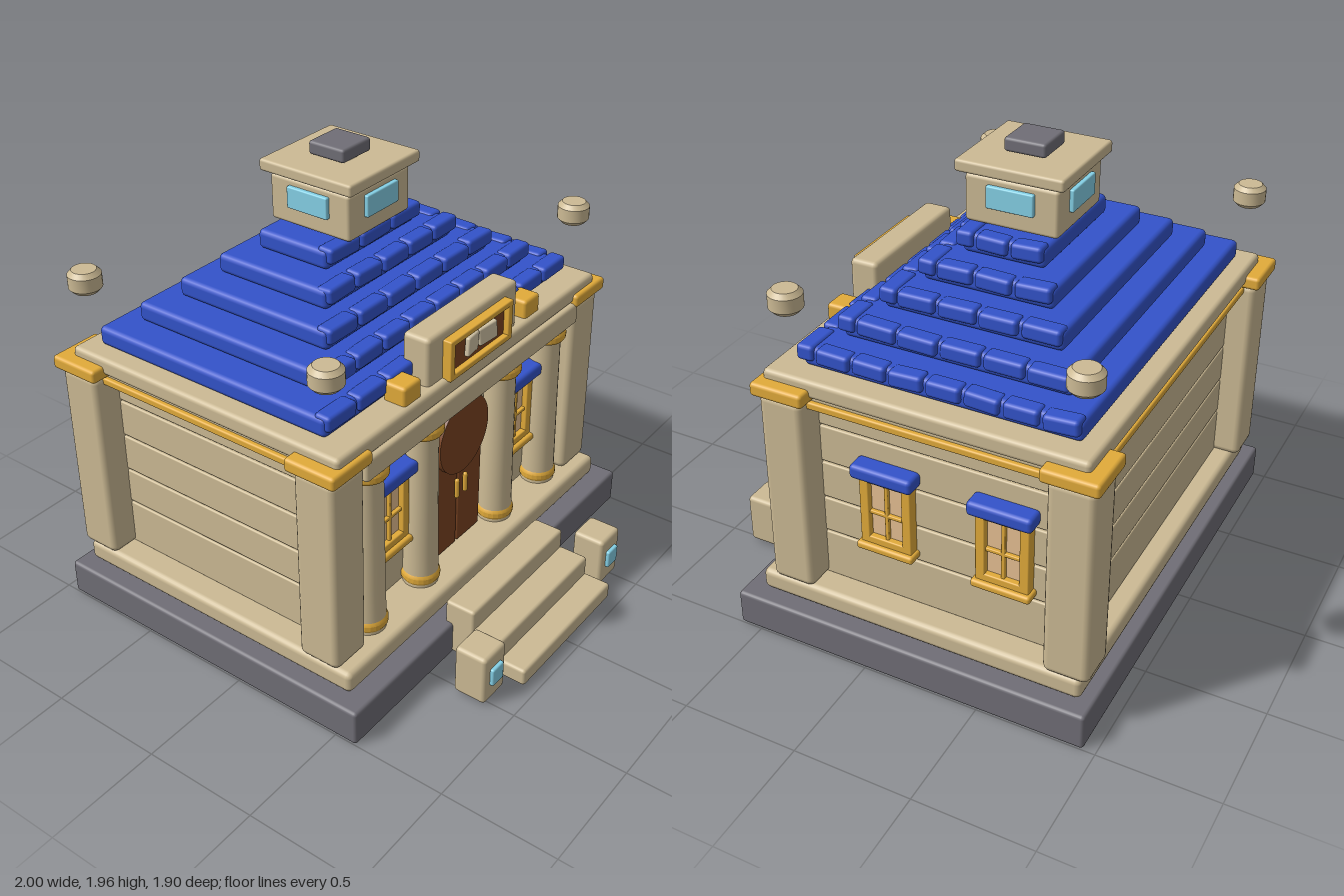
import * as THREE from 'three';
import { toCreasedNormals } from 'three/addons/utils/BufferGeometryUtils.js';
import { RoundedBoxGeometry } from 'three/addons/geometries/RoundedBoxGeometry.js';

const paint = (name, color) => Object.assign(new THREE.MeshStandardMaterial({ color }), { name });

export function createModel() {
  const stone = paint('sandstone', 0xccba94);
  const groove = paint('grooveShade', 0x7a6c50);
  const slate = paint('slate', 0x706e76);
  const blue = paint('roofBlue', 0x3353ca);
  const gold = paint('gold', 0xe2ab3a);
  const brown = paint('doorBrown', 0x7b4422);
  const cyan = paint('cyanGlass', 0x86d2e8);
  const glow = paint('warmGlass', 0xebc496);
  const page = paint('page', 0xd2c4a6);

  const model = new THREE.Group();
  model.name = 'libraryHall';

  let seed = 7;
  const jitter = (a) => {
    seed = (seed * 16807) % 2147483647;
    return (seed / 2147483647 - 0.5) * 2 * a;
  };

  const add = (name, geo, mat, x = 0, y = 0, z = 0, parent = model) => {
    const mesh = new THREE.Mesh(geo, mat);
    mesh.name = name;
    mesh.position.set(x, y, z);
    parent.add(mesh);
    return mesh;
  };
  // Soft-edged block given by its limits on each axis
  const block = (name, mat, [x0, x1], [y0, y1], [z0, z1], r = 0.012, parent = model) =>
    add(name, new RoundedBoxGeometry(x1 - x0, y1 - y0, z1 - z0, 2, r), mat,
      (x0 + x1) / 2, (y0 + y1) / 2, (z0 + z1) / 2, parent);
  const lathe = (points, sides = 24) => toCreasedNormals(
    new THREE.LatheGeometry(points.map(([r, y]) => new THREE.Vector2(r, y)), sides), 0.6);

  // Foundation
  block('base', slate, [-1, 1], [0, 0.157], [-0.95, 0.6], 0.015);
  block('plinth', stone, [-0.93, 0.93], [0.162, 0.255], [-0.9, 0.52], 0.025);

  // Walls: planks around a darker core that shows in the grooves
  add('wallCore', new THREE.BoxGeometry(1.6, 0.9, 1.11), groove, 0, 0.69, -0.245);
  const seams = [0.25, 0.465, 0.63, 0.8, 0.97, 1.15];
  for (let i = 0; i < 5; i++) {
    block('wallCourse', stone, [-0.815, 0.815], [seams[i] + 0.004, seams[i + 1] - 0.004], [-0.815, 0.33], 0.007);
  }

  // Corner pillars, their gold caps and the finials hovering above
  const finial = lathe([[0, -0.047], [0.05, -0.047], [0.068, -0.028], [0.068, 0.028], [0.05, 0.047], [0, 0.047]]);
  for (const s of [-1, 1]) {
    for (const z of [0.367, -0.835]) {
      block('cornerPillar', stone, [s * 0.84 - 0.095, s * 0.84 + 0.095], [0.25, 1.12], [z - 0.096, z + 0.096], 0.03);
      block('pillarCap', gold, [s * 0.84 - 0.118, s * 0.84 + 0.118], [1.117, 1.175], [z - 0.116, z + 0.116], 0.015);
      add('finial', finial, stone, s * 0.84, 1.503, z);
    }
  }

  // Trim and cornice
  block('goldTrim', gold, [-0.89, 0.89], [1.08, 1.112], [-0.88, 0.35], 0.008);
  block('upperWall', stone, [-0.87, 0.87], [1.1, 1.15], [-0.86, 0.36], 0.005);
  block('frontBeam', stone, [-0.75, 0.75], [1.035, 1.135], [0.3, 0.475], 0.015);
  block('cornice', stone, [-0.9, 0.9], [1.135, 1.212], [-0.89, 0.46], 0.02);

  // Porch columns
  const shaft = lathe([[0.076, 0.25], [0.073, 0.45], [0.069, 0.7], [0.066, 1.0]]);
  const ring = (r) => lathe([[0, -0.023], [r - 0.008, -0.023], [r, -0.01], [r, 0.01], [r - 0.008, 0.023], [0, 0.023]]);
  const baseRing = ring(0.083);
  const capitalRing = ring(0.088);
  for (const x of [-0.64, -0.28, 0.28, 0.64]) {
    add('columnShaft', shaft, stone, x, 0, 0.385);
    add('columnBase', baseRing, gold, x, 0.29, 0.385);
    add('columnCapital', capitalRing, gold, x, 1.008, 0.385);
  }

  // Windows, built facing +z with the wall at z = 0
  const makeWindow = (x, z, turn) => {
    const g = new THREE.Group();
    g.name = 'window';
    for (const s of [-1, 1]) {
      const e = s * 0.092;
      block('windowJamb', gold, [e - 0.02, e + 0.02], [0.51, 0.83], [-0.01, 0.045], 0.006, g);
    }
    block('windowHead', gold, [-0.11, 0.11], [0.8, 0.835], [-0.01, 0.045], 0.006, g);
    block('windowFoot', gold, [-0.11, 0.11], [0.51, 0.55], [-0.01, 0.045], 0.006, g);
    block('windowSill', gold, [-0.125, 0.125], [0.487, 0.52], [-0.01, 0.065], 0.012, g);
    add('windowPane', new THREE.BoxGeometry(0.16, 0.27, 0.008), glow, 0, 0.675, 0.015, g);
    block('windowBar', gold, [-0.008, 0.008], [0.54, 0.81], [0.01, 0.035], 0.004, g);
    block('windowBar', gold, [-0.08, 0.08], [0.652, 0.668], [0.01, 0.035], 0.004, g);
    block('windowAwning', blue, [-0.135, 0.135], [0.825, 0.887], [-0.01, 0.08], 0.018, g);
    g.position.set(x, 0, z);
    g.rotation.y = turn;
    model.add(g);
  };
  for (const x of [-0.46, 0.46]) makeWindow(x, 0.33, 0);
  for (const z of [-0.035, -0.535]) makeWindow(0.815, z, Math.PI / 2);

  // Arched double door
  const disc = (name, mat, r, z0, z1) => {
    const geo = new THREE.CylinderGeometry(r, r, z1 - z0, 40).rotateX(Math.PI / 2);
    add(name, geo, mat, 0, 0.822, (z0 + z1) / 2);
  };
  disc('doorSurround', stone, 0.228, 0.3, 0.336);
  disc('doorArch', brown, 0.175, 0.32, 0.4);
  for (const s of [-1, 1]) {
    block('doorLeaf', brown, [s * 0.0875 - 0.083, s * 0.0875 + 0.083], [0.262, 0.82], [0.31, 0.375], 0.008);
    add('doorHandle', new THREE.CapsuleGeometry(0.011, 0.075, 4, 10), gold, s * 0.03, 0.565, 0.39);
  }

  // Sign with an open book
  block('signPanel', stone, [-0.31, 0.31], [1.178, 1.417], [0.305, 0.43], 0.02);
  block('signBoard', brown, [-0.2, 0.2], [1.215, 1.37], [0.41, 0.445], 0.006);
  for (const s of [-1, 1]) {
    block('signFrameSide', gold, [s * 0.203 - 0.015, s * 0.203 + 0.015], [1.203, 1.38], [0.42, 0.47], 0.006);
    const y = 1.291 + s * 0.076;
    block('signFrameRail', gold, [-0.217, 0.217], [y - 0.013, y + 0.013], [0.42, 0.47], 0.006);
    const leaf = block('bookPage', page, [s * 0.054 - 0.05, s * 0.054 + 0.05], [1.258, 1.338], [0.443, 0.465], 0.008);
    leaf.rotation.set(0, -s * 0.2, s * 0.12);
    block('cornerBlock', gold, [s * 0.42 - 0.055, s * 0.42 + 0.055], [1.18, 1.29], [0.337, 0.44], 0.015);
  }

  // Stepped roof: solid tiers, with tiles along the front and left edges
  const tiers = [[0.82, 0.585], [0.69, 0.485], [0.555, 0.385], [0.43, 0.285], [0.3, 0.185]];
  const midZ = -0.228;
  const tile = (x, y, z, along) => {
    const m = add('roofTile', new RoundedBoxGeometry(along - 0.014, 0.066, 0.075, 2, 0.016), blue, x, y, z);
    m.rotation.set(jitter(0.05), 0, jitter(0.03));
    return m;
  };
  tiers.forEach(([hx, hz], i) => {
    const y = 1.21 + i * 0.085;
    block('roofTier', blue, [-hx, hx - 0.02], [y, y + 0.083], [midZ - hz, midZ + hz - 0.02], 0.022);
    const nx = Math.max(2, Math.round((2 * hx) / 0.178));
    const px = (2 * hx) / nx;
    for (let k = 0; k < nx; k++) {
      tile(-hx + (k + 0.5) * px, y + 0.058, midZ + hz - 0.038 + jitter(0.004), px);
    }
    const run = 2 * hz - 0.08;
    const nz = Math.max(2, Math.round(run / 0.165));
    const pz = run / nz;
    for (let k = 0; k < nz; k++) {
      const m = tile(hx - 0.037 + jitter(0.004), y + 0.058, midZ - hz + (k + 0.5) * pz, pz);
      m.rotation.y = Math.PI / 2;
    }
  });

  // Cupola with a window on each side
  block('cupola', stone, [-0.197, 0.197], [1.64, 1.835], [midZ - 0.197, midZ + 0.197], 0.015);
  block('cupolaRoof', stone, [-0.226, 0.226], [1.846, 1.897], [midZ - 0.228, midZ + 0.228], 0.012);
  block('cupolaCap', slate, [-0.088, 0.088], [1.903, 1.96], [midZ - 0.088, midZ + 0.088], 0.012);
  for (let k = 0; k < 4; k++) {
    const a = (k * Math.PI) / 2;
    const m = add('cupolaWindow', new RoundedBoxGeometry(0.2, 0.092, 0.03, 2, 0.006), cyan,
      Math.sin(a) * 0.2, 1.762, midZ + Math.cos(a) * 0.2);
    m.rotation.y = a;
  }

  // Front steps and lamp posts
  [[0.56, 0.7, 0.26], [0.69, 0.83, 0.172], [0.82, 0.95, 0.085]].forEach(([z0, z1, h]) =>
    block('step', stone, [-0.348, 0.345], [0.008, h], [z0, z1], 0.014));
  for (const s of [-1, 1]) {
    const x = s * 0.46;
    block('lampPost', stone, [x - 0.075, x + 0.075], [0.01, 0.238], [0.733, 0.88], 0.018);
    block('lampGlass', cyan, [x - 0.038, x + 0.038], [0.09, 0.172], [0.865, 0.897], 0.008);
  }

  return model;
}
